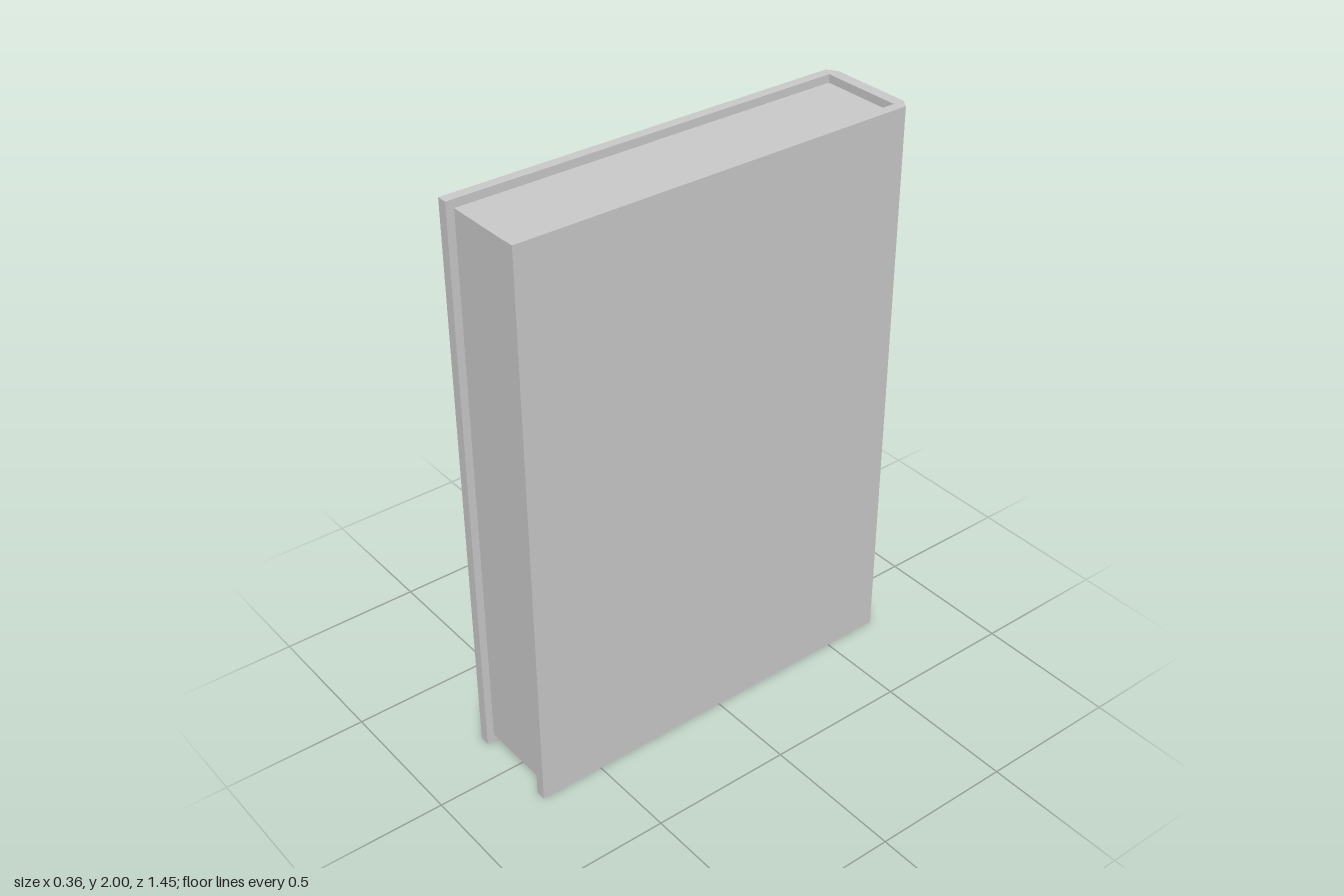
import * as THREE from 'three';
import { toCreasedNormals } from 'three/addons/utils/BufferGeometryUtils.js';

export function createModel() {
  const book = new THREE.Group();
  book.name = 'book';
  const grey = new THREE.MeshStandardMaterial({ color: 0xcccccc });
  grey.name = 'plain grey';

  const halfWidth = 0.18, innerHalf = 0.145;
  const front = 0.727, back = -0.727, bevel = -0.704, innerBack = -0.687;

  // Cover: U-shaped outline with a bevelled spine, drawn in x and -z
  const half = [
    [innerHalf, innerBack], [innerHalf, front], [halfWidth, front],
    [halfWidth, bevel], [innerHalf, back],
  ];
  const mirrored = half.map(([x, z]) => [-x, z]).reverse();
  const outline = new THREE.Shape(
    [...half, ...mirrored].map(([x, z]) => new THREE.Vector2(x, -z))
  );
  const coverGeometry = new THREE.ExtrudeGeometry(outline, { depth: 2, bevelEnabled: false });
  coverGeometry.rotateX(-Math.PI / 2);
  // Smooth across the spine only; board edges stay sharp
  const cover = new THREE.Mesh(toCreasedNormals(coverGeometry, Math.PI / 4), grey);
  cover.name = 'cover';
  book.add(cover);

  // Page block, set in from the cover's top, bottom and front edges
  const pageFront = 0.7, pageBottom = 0.028, pageTop = 1.972;
  const pages = new THREE.Mesh(
    new THREE.BoxGeometry(innerHalf * 2, pageTop - pageBottom, pageFront - innerBack), grey
  );
  pages.position.set(0, (pageTop + pageBottom) / 2, (pageFront + innerBack) / 2);
  pages.name = 'pages';
  book.add(pages);

  return book;
}
